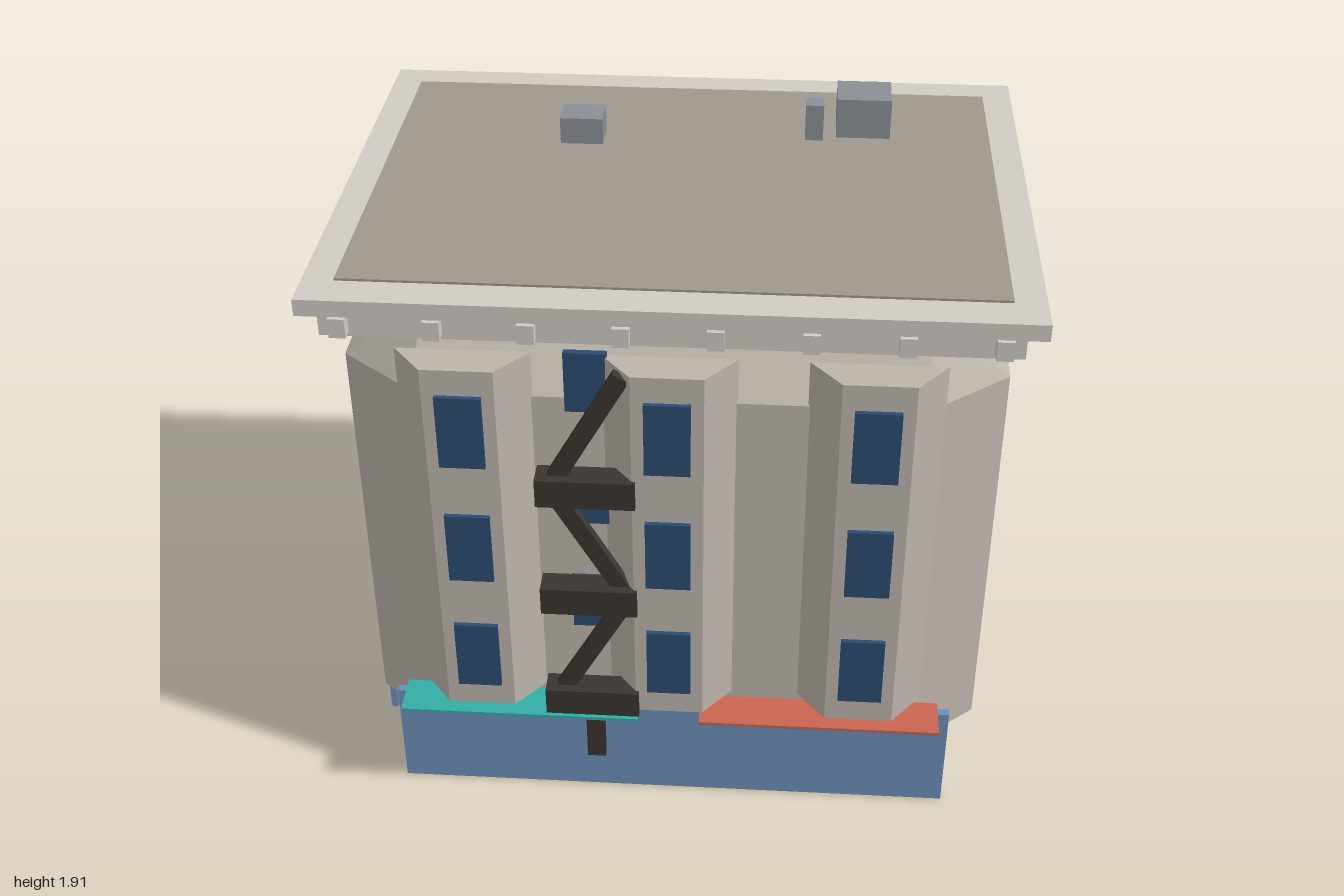
import * as THREE from 'three';
import { ConvexGeometry } from 'three/addons/geometries/ConvexGeometry.js';

const mat = (color) => new THREE.MeshStandardMaterial({ color });

export function createModel() {
  const group = new THREE.Group();
  group.name = 'apartmentBuilding';
  const wall = mat(0xbcb5ab), trim = mat(0xd0ccc4), deck = mat(0x9f988e);
  const glass = mat(0x2b4b70), panel = mat(0x6a8fb8), iron = mat(0x3a3530);
  const metal = mat(0x8a9097), teal = mat(0x33aea6), coral = mat(0xc9654f);

  const add = (name, geometry, material) => {
    const mesh = new THREE.Mesh(geometry, material);
    mesh.name = name;
    group.add(mesh);
    return mesh;
  };
  // Box given by its limits on each axis
  const box = (name, material, x0, x1, y0, y1, z0, z1) => {
    const mesh = add(name, new THREE.BoxGeometry(x1 - x0, y1 - y0, z1 - z0), material);
    mesh.position.set((x0 + x1) / 2, (y0 + y1) / 2, (z0 + z1) / 2);
    return mesh;
  };

  // Main block: box with chamfered edges and corners
  const H = [0.94, 0.83, 0.77], inset = [0.23, 0.2, 0.185];
  const points = [];
  for (const sx of [-1, 1]) for (const sy of [-1, 1]) for (const sz of [-1, 1]) {
    for (let full = 0; full < 3; full++) {
      const p = [sx, sy, sz].map((s, i) => s * (H[i] - (i === full ? 0 : inset[i])));
      points.push(new THREE.Vector3(...p));
    }
  }
  add('mainBlock', new ConvexGeometry(points), wall).position.set(0, 0.83, -0.06);

  // Bay columns with three windows each
  const bayShape = new THREE.Shape([[-0.187, -0.705], [-0.1, -0.812], [0.1, -0.812], [0.187, -0.705]]
    .map(([x, y]) => new THREE.Vector2(x, y)));
  for (const x of [-0.566, 0, 0.566]) {
    const bayGeo = new THREE.ExtrudeGeometry(bayShape, { depth: 1.195, bevelEnabled: false });
    bayGeo.rotateX(-Math.PI / 2);
    add('bay', bayGeo, wall).position.set(x, 0.405, 0);
    for (const y of [0.49, 0.89, 1.29]) {
      box('bayWindow', glass, x - 0.064, x + 0.064, y, y + 0.23, 0.805, 0.826);
    }
  }

  // Stairwell windows behind the fire escape
  for (const y of [0.65, 1.035, 1.42]) {
    box('stairwellWindow', glass, -0.29, -0.17, y, y + 0.19, 0.70, 0.72);
  }

  // Side windows, four floors on both sides
  for (const s of [-1, 1]) for (const y of [0.235, 0.625, 1.015, 1.405]) for (const z of [0.215, -0.4]) {
    box('sideWindow', glass, s * 0.94 - 0.01, s * 0.94 + 0.01, y, y + 0.132, z - 0.17, z + 0.17);
  }

  // Ground floor panels
  box('frontPanel', panel, -0.847, 0.847, 0, 0.357, 0.70, 0.724);
  box('sidePanel', panel, -0.958, -0.936, 0, 0.357, -0.67, 0.42);

  // Awnings
  box('tealAwning', teal, -0.815, -0.095, 0.37, 0.381, 0.70, 0.829);
  box('coralAwning', coral, 0.09, 0.81, 0.37, 0.381, 0.70, 0.829);

  // Roof slab, deck, cornice and brackets
  box('roofSlab', trim, -1, 1, 1.725, 1.775, -0.735, 0.763);
  box('roofDeck', deck, -0.91, 0.91, 1.77, 1.782, -0.63, 0.655);
  box('cornice', trim, -0.945, 0.945, 1.652, 1.722, 0.70, 0.737);
  for (let i = 0; i < 8; i++) {
    const x = -0.885 + i * 0.253;
    box('bracket', trim, x - 0.023, x + 0.023, 1.668, 1.726, 0.735, 0.776);
  }

  // Rooftop units
  box('roofVent', metal, -0.4, -0.27, 1.775, 1.865, -0.31, -0.205);
  box('chimney', metal, 0.345, 0.4, 1.775, 1.897, -0.33, -0.275);
  box('roofHousing', metal, 0.44, 0.605, 1.775, 1.908, -0.44, -0.3);

  // Fire escape: platforms, zigzag flights and drop ladder
  [0.39, 0.78, 1.167].forEach((y, i) => {
    box('fireEscapePlatform', iron, -0.37, -0.09, y, y + 0.09, 0.75, 0.827);
    const dir = i === 1 ? -1 : 1;
    const flight = add('fireEscapeFlight', new THREE.BoxGeometry(0.05, 0.41, 0.03), iron);
    flight.position.set(-0.225, y + 0.24, 0.785);
    flight.rotation.z = -dir * 0.51;
  });
  box('dropLadder', iron, -0.257, -0.2, 0.168, 0.357, 0.758, 0.774);

  return group;
}
